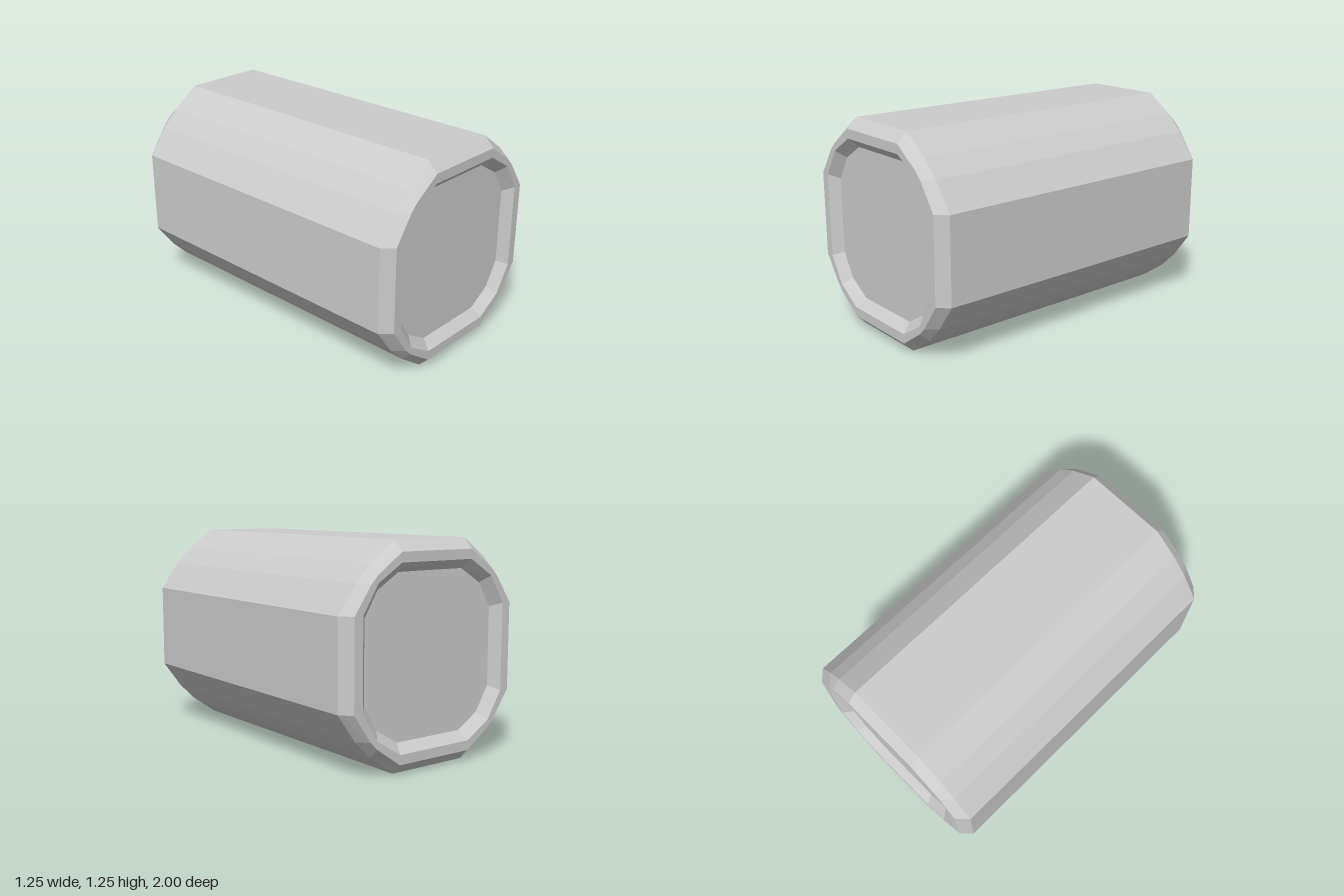
import * as THREE from 'three';

const CENTRE_Y = 0.625;

// Rounded-square outline, counter-clockwise: flat sides at distance e and half
// length h, with corner points (n, m) and (m, n).
function outline({ e, h, n, m, z }) {
  const points = [];
  for (let q = 0; q < 4; q++) {
    for (const [x, y] of [[e, h], [n, m], [m, n], [h, e]]) {
      let px = x, py = y;
      for (let k = 0; k < q; k++) [px, py] = [-py, px];
      points.push(new THREE.Vector3(px, py + CENTRE_Y, z));
    }
  }
  return points;
}

// Joins consecutive outlines with flat faces; caps can close either end.
function loft(sections, capStart, capEnd) {
  const verts = [];
  const tri = (a, b, c) => {
    if (new THREE.Triangle(a, b, c).getArea() < 1e-7) return;
    for (const p of [a, b, c]) verts.push(p.x, p.y, p.z);
  };
  const rings = sections.map(outline);
  const count = rings[0].length;
  const first = rings[0], last = rings[rings.length - 1];
  const middle = (s) => new THREE.Vector3(0, CENTRE_Y, s.z);
  for (let i = 0; i < count; i++) {
    const j = (i + 1) % count;
    for (let s = 0; s < rings.length - 1; s++) {
      const a = rings[s], b = rings[s + 1];
      tri(a[i], a[j], b[j]);
      tri(a[i], b[j], b[i]);
    }
    if (capStart) tri(middle(sections[0]), first[j], first[i]);
    if (capEnd) tri(middle(sections[sections.length - 1]), last[i], last[j]);
  }
  const geometry = new THREE.BufferGeometry();
  geometry.setAttribute('position', new THREE.Float32BufferAttribute(verts, 3));
  geometry.computeVertexNormals();
  return geometry;
}

export function createModel() {
  const group = new THREE.Group();
  group.name = 'barrel';
  const material = new THREE.MeshStandardMaterial({ color: 0xcccccc, flatShading: true });
  const add = (name, geometry) => {
    const mesh = new THREE.Mesh(geometry, material);
    mesh.name = name;
    group.add(mesh);
  };

  // Profile steps from the body edge to the recessed end panel
  const steps = [
    { e: 0.624, h: 0.252, n: 0.51, m: 0.41, z: 0.94 },
    { e: 0.564, h: 0.252, n: 0.454, m: 0.41, z: 1 },
    { e: 0.508, h: 0.252, n: 0.41, m: 0.41, z: 1 },
    { e: 0.456, h: 0.228, n: 0.37, m: 0.37, z: 0.945 },
  ];
  const back = steps.map((s) => ({ ...s, z: -s.z })).reverse();

  // Long faceted body
  add('body', loft([back[3], steps[0]], false, false));

  // Chamfered rims with sloping recess walls
  add('frontRim', loft(steps, false, false));
  add('backRim', loft(back, false, false));

  // Recessed end panels
  add('frontPanel', loft([steps[3]], false, true));
  add('backPanel', loft([back[0]], true, false));

  return group;
}
